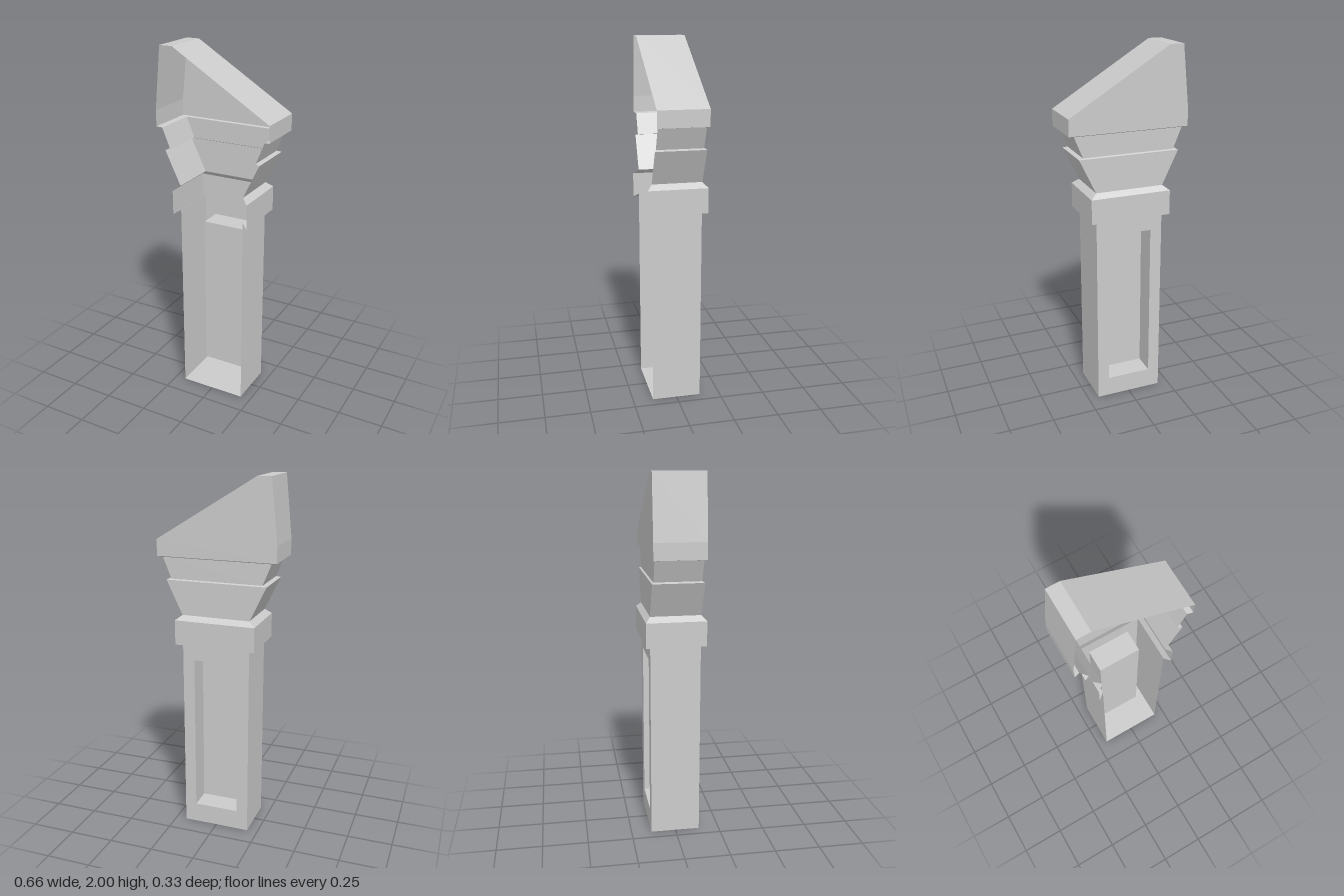
import * as THREE from 'three';

const material = new THREE.MeshStandardMaterial({ color: 0xcccccc, flatShading: true, side: THREE.DoubleSide });

// Mesh from a list of quads, each four [x, y, z] corners
function quadMesh(name, quads) {
  const pos = [];
  for (const [a, b, c, d] of quads) pos.push(...a, ...b, ...c, ...a, ...c, ...d);
  const geo = new THREE.BufferGeometry();
  geo.setAttribute('position', new THREE.Float32BufferAttribute(pos, 3));
  geo.computeVertexNormals();
  return named(name, geo);
}

function named(name, geo) {
  const mesh = new THREE.Mesh(geo, material);
  mesh.name = name;
  return mesh;
}

// Three-sided shell (left, back, right; open front) through [halfWidth, halfDepth, y] sections
function shell(name, sections, sides = [0, 1, 2]) {
  const ring = ([w, d, y]) => [[-w, y, d], [-w, y, -d], [w, y, -d], [w, y, d]];
  const quads = [];
  for (let i = 0; i < sections.length - 1; i++) {
    const lo = ring(sections[i]), hi = ring(sections[i + 1]);
    for (const s of sides) quads.push([lo[s], hi[s], hi[s + 1], lo[s + 1]]);
  }
  return quadMesh(name, quads);
}

// Walls that follow an [x, y] outline from zFront to zBack
function walls(name, pts, zFront, zBack) {
  const quads = [];
  for (let i = 0; i < pts.length - 1; i++) {
    const [p, q] = [pts[i], pts[i + 1]];
    quads.push([[...p, zFront], [...q, zFront], [...q, zBack], [...p, zBack]]);
  }
  return quadMesh(name, quads);
}

// Flat panel facing -z, with an optional hole
function backPanel(name, pts, z, hole) {
  const flip = (list) => list.map(([x, y]) => new THREE.Vector2(-x, y));
  const shape = new THREE.Shape(flip(pts));
  if (hole) shape.holes.push(new THREE.Path(flip(hole)));
  const geo = new THREE.ShapeGeometry(shape);
  geo.rotateY(Math.PI);
  geo.translate(0, 0, z);
  return named(name, geo);
}

const rect = (w, y0, y1) => [[-w, y1], [-w, y0], [w, y0], [w, y1]];

export function createModel() {
  const group = new THREE.Group();
  const W = 0.19, D = 0.137, SHAFT_TOP = 1.117;

  // Shaft with closed foot and open front
  group.add(shell('shaftSides', [[W, D, 0], [W, D, SHAFT_TOP]], [0, 2]));
  group.add(quadMesh('shaftFoot', [[[-W, 0, -D], [W, 0, -D], [W, 0, D], [-W, 0, D]]]));

  // Back of the shaft with its recessed panel
  const recess = rect(0.125, 0.113, 1.005), recessZ = -0.01;
  group.add(backPanel('shaftBack', rect(W, 0, SHAFT_TOP), -D, recess));
  group.add(walls('recessWalls', [...recess, recess[0]], recessZ, -D));
  group.add(backPanel('recessPanel', recess, recessZ));

  // Collar with undercut below and bevel above
  group.add(shell('collar', [
    [W, D, SHAFT_TOP], [0.225, 0.163, 1.093], [0.225, 0.163, 1.23], [W, D, 1.257],
  ]));

  // Flared capital in two tiers
  group.add(shell('capital', [
    [W, D, 1.257], [0.28, D, 1.445], [0.255, 0.127, 1.45], [0.302, 0.127, 1.565], [0.332, D, 1.57],
  ]));

  // Sloped head block
  const head = [[-0.332, 1.57], [-0.332, 1.66], [-0.297, 2], [-0.222, 2], [0.332, 1.66], [0.332, 1.57]];
  group.add(walls('headWalls', head, D, -D));
  group.add(backPanel('headBack', head, -D));

  return group;
}
